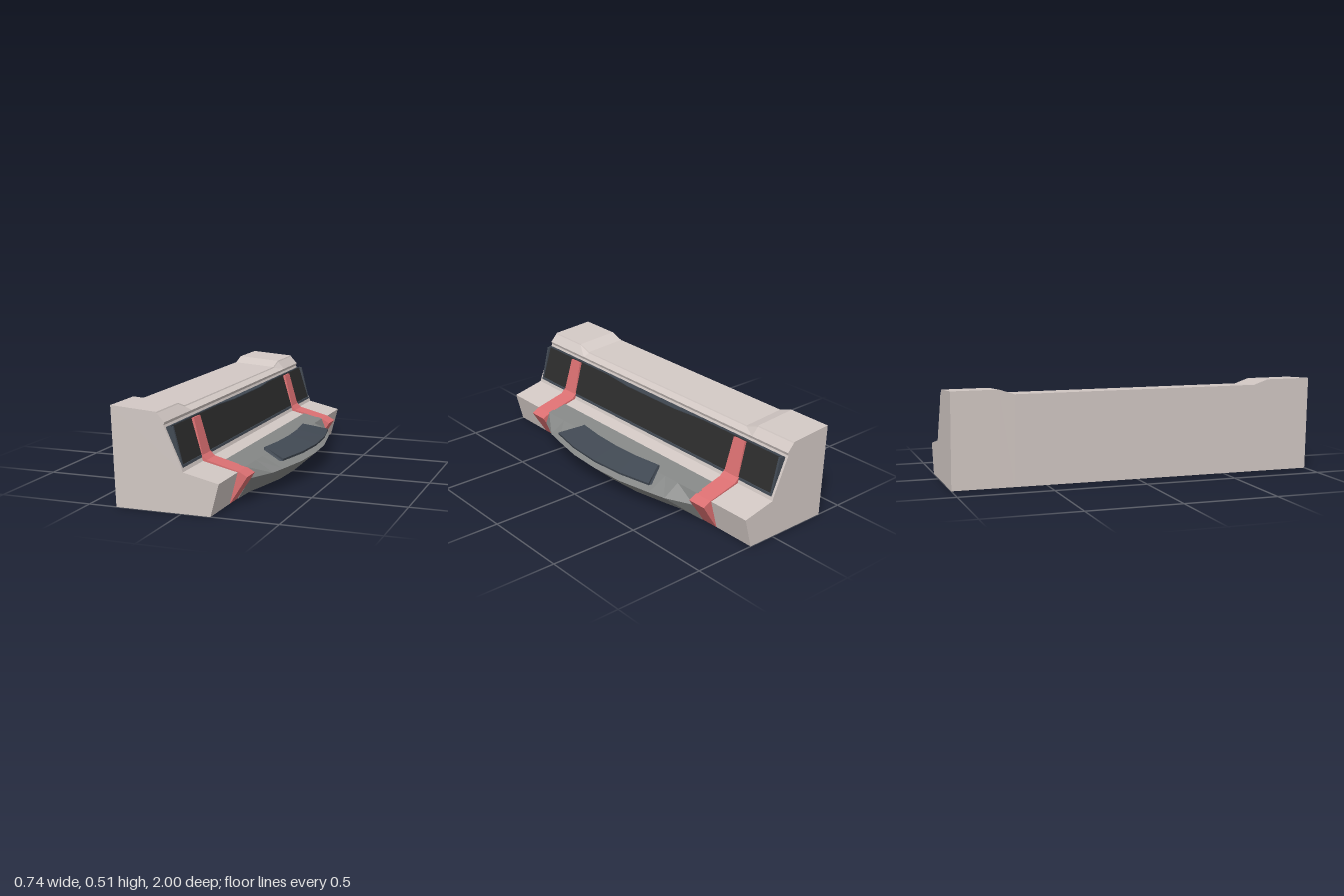
import * as THREE from 'three';

// Skin a series of cross-sections (counter-clockwise in xy, ordered by rising z), with end caps
function loft(sections, closed = true) {
  const pos = [];
  const n = sections[0].length;
  const tri = (a, b, c) => pos.push(...a, ...b, ...c);
  for (let s = 0; s < sections.length - 1; s++) {
    const a = sections[s], b = sections[s + 1];
    for (let i = 0; i < (closed ? n : n - 1); i++) {
      const j = (i + 1) % n;
      tri(a[i], a[j], b[j]);
      tri(a[i], b[j], b[i]);
    }
  }
  const first = sections[0], last = sections[sections.length - 1];
  const faces = THREE.ShapeUtils.triangulateShape(last.map(p => new THREE.Vector2(p[0], p[1])), []);
  for (const [i, j, k] of faces) {
    tri(last[i], last[j], last[k]);
    tri(first[k], first[j], first[i]);
  }
  const g = new THREE.BufferGeometry();
  g.setAttribute('position', new THREE.Float32BufferAttribute(pos, 3));
  g.computeVertexNormals();
  return g;
}

const at = (profile, z) => profile.map(([x, y]) => [x, y, z]);
const prism = (profile, z0, z1) => loft([at(profile, z0), at(profile, z1)]);

export function createModel() {
  const model = new THREE.Group();
  const paint = color => new THREE.MeshStandardMaterial({ color, flatShading: true, side: THREE.DoubleSide });
  const shell = paint(0xd2c8c4), red = paint(0xdc7072), grey = paint(0x858786);
  const slate = paint(0x414953), black = paint(0x2c2c2c);
  const add = (name, geometry, material) => {
    const mesh = new THREE.Mesh(geometry, material);
    mesh.name = name;
    model.add(mesh);
  };

  // Main body: hollow underneath, crest lowered between the ends
  const body = drop => [
    [0.152, 0], [0.195, 0.165], [0.01, 0.207], [0, 0.235], [-0.088, 0.43], [-0.083, 0.445],
    [-0.122, 0.487 - drop], [-0.125, 0.493 - drop], [-0.37, 0.51 - drop], [-0.35, 0],
  ];
  add('body', loft([[-1, 0], [-0.75, 0], [-0.67, 0.027], [0.67, 0.027], [0.75, 0], [1, 0]]
    .map(([z, drop]) => at(body(drop), z)), false), shell);

  // Long dark screen on the slope, with its frame
  add('screen', prism([[-0.006, 0.235], [0.001, 0.236], [-0.058, 0.42], [-0.08, 0.414]], -0.975, 0.975), black);
  add('screenSill', prism([[-0.004, 0.228], [0.006, 0.226], [0.003, 0.238], [-0.003, 0.24]], -0.985, 0.985), slate);
  const brow = xf => [[-0.083, 0.413], [xf - 0.008, 0.419], [xf, 0.424], [xf, 0.428], [-0.08, 0.42]];
  add('screenBrow', loft([[-0.985, -0.055], [-0.4, -0.055], [-0.2, -0.033], [0.2, -0.033], [0.4, -0.055], [0.985, -0.055]]
    .map(([z, xf]) => at(brow(xf), z))), slate);
  for (const side of [-1, 1]) {
    add('screenCheek', prism([[-0.002, 0.235], [0.002, 0.237], [-0.045, 0.425], [-0.082, 0.417]],
      side * 0.98 - 0.006, side * 0.98 + 0.006), slate);
  }

  // Bowed apron: flat on the shelf, sloping to a lip, undercut below
  const apron = xl => [
    [0.145, 0.001], [Math.max(0.158, xl - 0.125), 0.001], [xl, 0.112], [0.197, 0.171], [0.085, 0.196], [0.085, 0.18],
  ];
  const lip = [[0, 0.36], [0.2, 0.35], [0.4, 0.312], [0.5, 0.29], [0.65, 0.222]];
  const lipLine = [...lip.slice(1).reverse().map(([z, x]) => [-z, x]), ...lip];
  add('apron', loft(lipLine.map(([z, x]) => at(apron(x), z))), grey);

  // Curved floating panel, wider along its outer edge
  const steps = [-1, -0.5, 0, 0.5, 1];
  add('floatingPanel', loft(steps.map(t => {
    const xi = 0.207 - 0.029 * t * t, xo = 0.364 - 0.054 * t * t, zi = 0.33 * t, zo = 0.4 * t;
    return [
      [xi, 0.187, zi], [xo - 0.02, 0.152, zo], [xo, 0.153, zo],
      [xo + 0.002, 0.165, zo], [xi + 0.015, 0.198, zi], [xi, 0.2, zi],
    ];
  })), slate);

  // Mirrored panel supports and straps
  for (const side of [-1, 1]) {
    add('panelSupport', prism([[0.225, 0.12], [0.255, 0.125], [0.29, 0.16], [0.26, 0.17]],
      side * 0.26 - 0.025, side * 0.26 + 0.025), slate);

    const mid = side * 0.697;
    const wide = (profile, w) => prism(profile, mid - w, mid + w);
    add('strapUpper', loft([-1, 1].map(s => [
      [-0.006, 0.232, mid + s * 0.05], [0.006, 0.236, mid + s * 0.05],
      [-0.044, 0.421, mid + s * 0.04], [-0.07, 0.415, mid + s * 0.04],
    ])), red);
    add('strapShelf', wide([[0.008, 0.203], [0.19, 0.16], [0.2, 0.169], [0.03, 0.213], [0.001, 0.24], [-0.004, 0.235]], 0.055), red);
    add('strapLower', wide([[0.148, 0.001], [0.154, 0.001], [0.245, 0.145], [0.2, 0.169], [0.185, 0.165]], 0.055), red);
  }
  return model;
}
